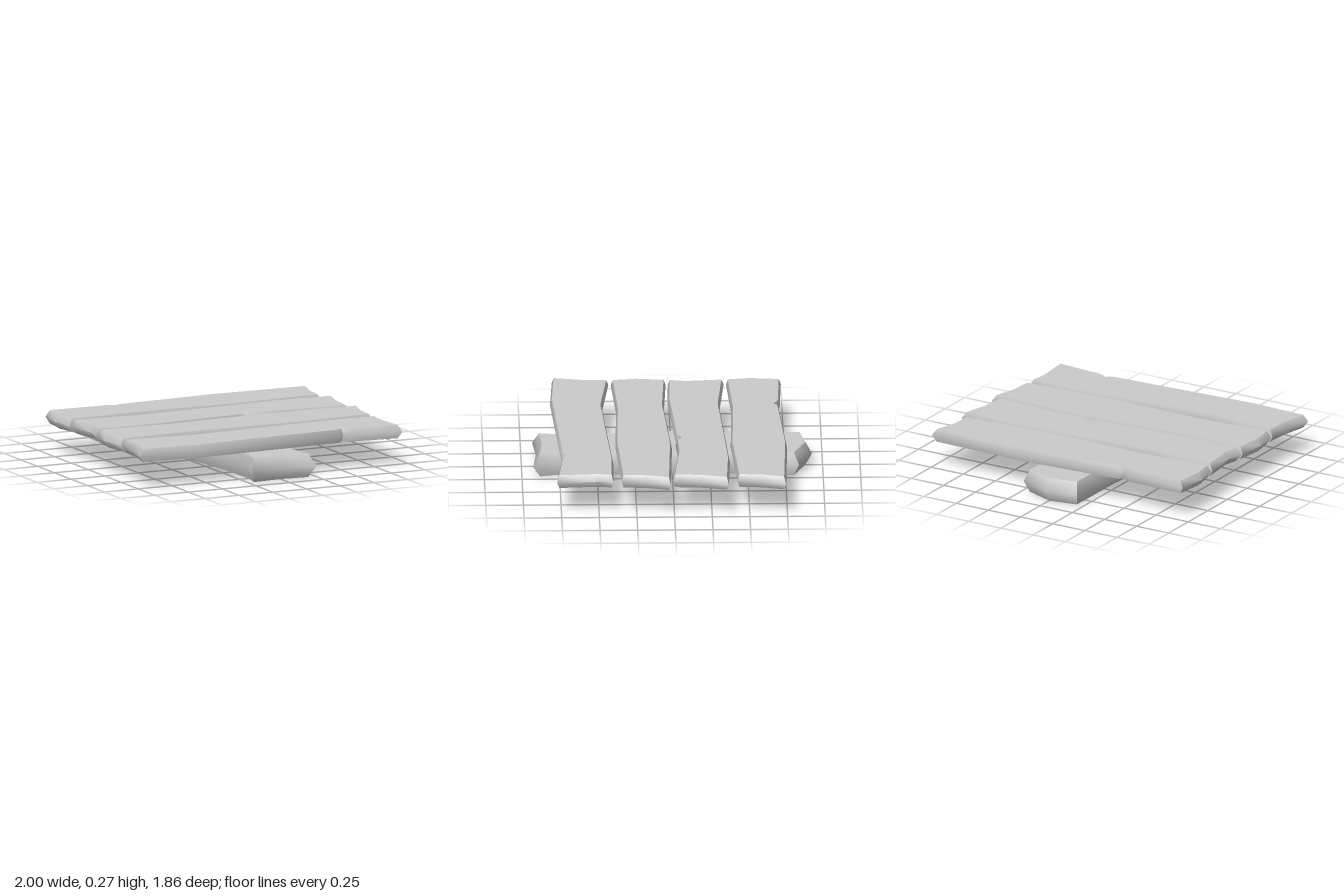
import * as THREE from 'three';
import { mergeGeometries, toCreasedNormals } from 'three/addons/utils/BufferGeometryUtils.js';

const material = new THREE.MeshStandardMaterial({ color: 0xcccccc });

// Move each edge of an [x, z] outline inwards: endInset for edges across the board, sideInset along it
function insetOutline(points, along, sideInset, endInset) {
  const n = points.length;
  const edges = points.map((p, i) => {
    const q = points[(i + 1) % n];
    const dx = q[0] - p[0], dz = q[1] - p[1], len = Math.hypot(dx, dz);
    const isSide = (Math.abs(dx) > Math.abs(dz)) === (along === 'x');
    return { nx: -dz / len, nz: dx / len, d: isSide ? sideInset : endInset };
  });
  return points.map(([x, z], i) => {
    const a = edges[(i + n - 1) % n], b = edges[i];
    const det = a.nx * b.nz - a.nz * b.nx;
    if (Math.abs(det) < 0.01) return [x + b.nx * b.d, z + b.nz * b.d];
    return [x + (a.d * b.nz - b.d * a.nz) / det, z + (b.d * a.nx - a.d * b.nx) / det];
  });
}

function geometryFrom(positions) {
  const g = new THREE.BufferGeometry();
  g.setAttribute('position', new THREE.Float32BufferAttribute(positions, 3));
  return g;
}

// A hewn board: full outline at mid height, inset outline on the top and bottom faces
function hewnBoard(name, outline, along, y0, y1, sideInset, endInset) {
  const inner = insetOutline(outline, along, sideInset, endInset);
  const ring = (pts, y) => pts.map(([x, z]) => [x, y, z]);
  const low = ring(inner, y0), mid = ring(outline, (y0 + y1) / 2), high = ring(inner, y1);

  // Bevelled bands, smooth over the ridge and sharp at the corners
  const bands = [];
  for (const [a, b] of [[low, mid], [mid, high]]) {
    for (let i = 0; i < a.length; i++) {
      const j = (i + 1) % a.length;
      bands.push(...a[i], ...b[i], ...b[j], ...a[i], ...b[j], ...a[j]);
    }
  }

  // Flat top and bottom faces
  const caps = [];
  const flat = inner.map(([x, z]) => new THREE.Vector2(x, z));
  for (const tri of THREE.ShapeUtils.triangulateShape(flat, [])) {
    const [p, q, r] = tri.map((k) => flat[k]);
    const cross = (q.x - p.x) * (r.y - p.y) - (q.y - p.y) * (r.x - p.x);
    const up = cross < 0 ? tri : [...tri].reverse();
    up.forEach((k) => caps.push(...high[k]));
    [...up].reverse().forEach((k) => caps.push(...low[k]));
  }
  const capGeometry = geometryFrom(caps);
  capGeometry.computeVertexNormals();

  const mesh = new THREE.Mesh(
    mergeGeometries([toCreasedNormals(geometryFrom(bands), 1.13), capGeometry]), material);
  mesh.name = name;
  return mesh;
}

// Plank outlines from back to front, with small chips in their long edges
const planks = {
  backPlank: [
    [-0.95, -0.74], [-0.51, -0.725], [-0.455, -0.7], [-0.43, -0.72], [0.3, -0.76], [1, -0.74],
    [0.955, -0.58], [0.94, -0.42], [0.28, -0.385], [-0.4, -0.4], [-0.95, -0.375], [-0.975, -0.53]],
  middleBackPlank: [
    [-0.95, -0.36], [-0.46, -0.325], [0.57, -0.375], [1, -0.36], [0.955, -0.18], [0.94, 0.01],
    [0.45, -0.03], [0.23, -0.02], [0.2, -0.045], [0.14, -0.02], [-0.57, 0.02], [-0.95, 0.01],
    [-0.925, -0.11]],
  middleFrontPlank: [
    [-0.95, 0.025], [-0.45, 0.045], [0.3, 0.005], [1, 0.025], [0.955, 0.18], [0.94, 0.35],
    [0.28, 0.38], [-0.4, 0.365], [-0.95, 0.39], [-0.975, 0.22]],
  frontPlank: [
    [-0.95, 0.405], [-0.45, 0.455], [0.57, 0.4], [0.94, 0.405], [0.925, 0.52], [0.945, 0.78],
    [0.57, 0.745], [0.53, 0.72], [0.5, 0.745], [-0.57, 0.8], [-1, 0.78], [-0.96, 0.59]],
};

// Supporting beam, pointed at the back and slightly hollow at the front
const beam = [
  [-0.22, -0.89], [0, -0.93], [0.225, -0.84], [0.185, -0.38], [0.2, 0], [0.195, 0.42],
  [0.195, 0.78], [0.235, 0.925], [0, 0.905], [-0.24, 0.925], [-0.205, 0.75], [-0.22, 0.38],
  [-0.26, 0.02], [-0.225, -0.38]];

export function createModel() {
  const model = new THREE.Group();
  model.name = 'plankPlatform';
  model.add(hewnBoard('supportBeam', beam, 'z', 0, 0.16, 0.025, 0.042));
  for (const [name, outline] of Object.entries(planks)) {
    model.add(hewnBoard(name, outline, 'x', 0.18, 0.27, 0.013, 0.028));
  }
  return model;
}
